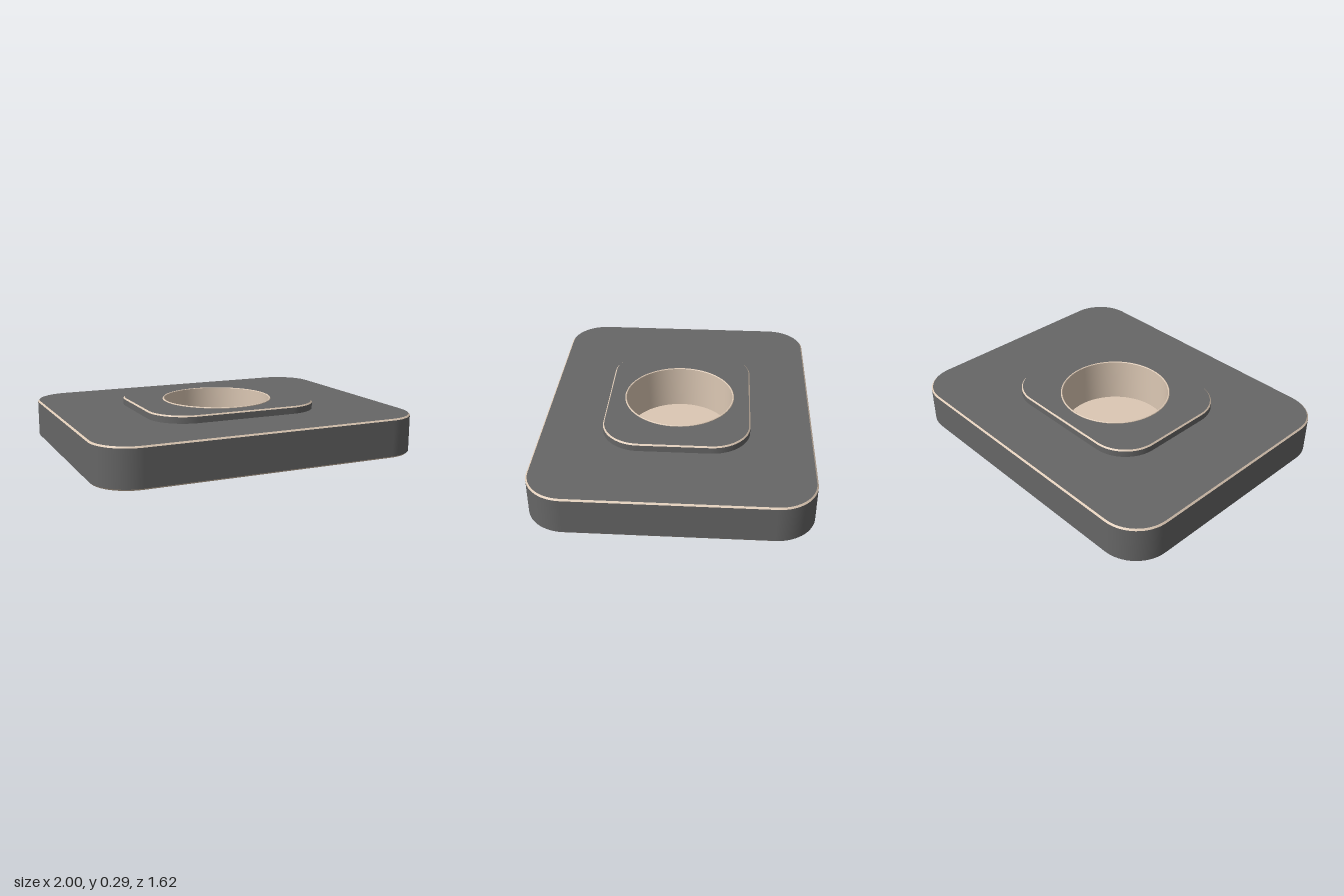
import * as THREE from 'three';
import { toCreasedNormals } from 'three/addons/utils/BufferGeometryUtils.js';

const HOLE = 0.34;

// Counter-clockwise rounded rectangle, half sizes w and d
function outline(w, d, r, inset = 0) {
  const pts = [], steps = 16, q = r - inset;
  const corners = [[1, 1], [-1, 1], [-1, -1], [1, -1]];
  corners.forEach(([sx, sy], k) => {
    for (let i = 0; i <= steps; i++) {
      const a = (k + i / steps) * Math.PI / 2;
      pts.push(new THREE.Vector2(sx * (w - r) + q * Math.cos(a), sy * (d - r) + q * Math.sin(a)));
    }
  });
  return pts;
}

// Smooth wall between two outlines at two heights
function band(lower, y0, upper, y1) {
  const n = lower.length, pos = [], idx = [];
  lower.forEach(p => pos.push(p.x, y0, -p.y));
  upper.forEach(p => pos.push(p.x, y1, -p.y));
  for (let i = 0; i < n; i++) {
    const j = (i + 1) % n;
    idx.push(i, j, n + j, i, n + j, n + i);
  }
  const g = new THREE.BufferGeometry();
  g.setAttribute('position', new THREE.Float32BufferAttribute(pos, 3));
  g.setIndex(idx);
  g.computeVertexNormals();
  return g;
}

// Flat cap facing up or down, optionally pierced by the round hole
function cap(pts, y, up, pierced) {
  const shape = new THREE.Shape(pts);
  if (pierced) shape.holes.push(new THREE.Path().absarc(0, 0, HOLE, 0, Math.PI * 2, true));
  const g = new THREE.ShapeGeometry(shape, 32);
  g.rotateX(up ? -Math.PI / 2 : Math.PI / 2);
  return g.translate(0, y, 0);
}

export function createModel() {
  const grey = new THREE.MeshStandardMaterial({ color: 0x666666 });
  const tan = new THREE.MeshStandardMaterial({ color: 0xdcc8b4 });
  const model = new THREE.Group();
  model.name = 'socketPlate';

  const add = (parent, name, geometry, material) => {
    const mesh = new THREE.Mesh(geometry, material);
    mesh.name = name;
    parent.add(mesh);
  };

  // Slab with contrasting chamfers at its edges
  function slab(name, w, d, r, y0, y1, c, closedBottom) {
    const g = new THREE.Group();
    g.name = name;
    const full = outline(w, d, r), inner = outline(w, d, r, c);
    const wallStart = closedBottom ? y0 + c : y0;
    add(g, name + 'Wall', band(full, wallStart, full, y1 - c), grey);
    add(g, name + 'TopChamfer', band(full, y1 - c, inner, y1), tan);
    add(g, name + 'Top', cap(inner, y1, true, true), grey);
    if (closedBottom) {
      add(g, name + 'BottomChamfer', band(inner, y0, full, wallStart), tan);
      add(g, name + 'Bottom', cap(inner, y0, false, false), grey);
    }
    model.add(g);
  }

  slab('base', 1, 0.81, 0.23, 0, 0.235, 0.009, true);
  slab('raisedPad', 0.535, 0.44, 0.23, 0.235, 0.281, 0.008, false);

  // Round recess: thin lip, inner wall and floor
  const profile = [
    [HOLE, 0.27], [HOLE, 0.284], [HOLE - 0.003, 0.287], [HOLE - 0.007, 0.287],
    [HOLE - 0.01, 0.284], [HOLE - 0.01, 0.01], [0, 0.01],
  ].map(([x, y]) => new THREE.Vector2(x, y));
  add(model, 'recess', toCreasedNormals(new THREE.LatheGeometry(profile, 64), 0.5), tan);

  return model;
}
